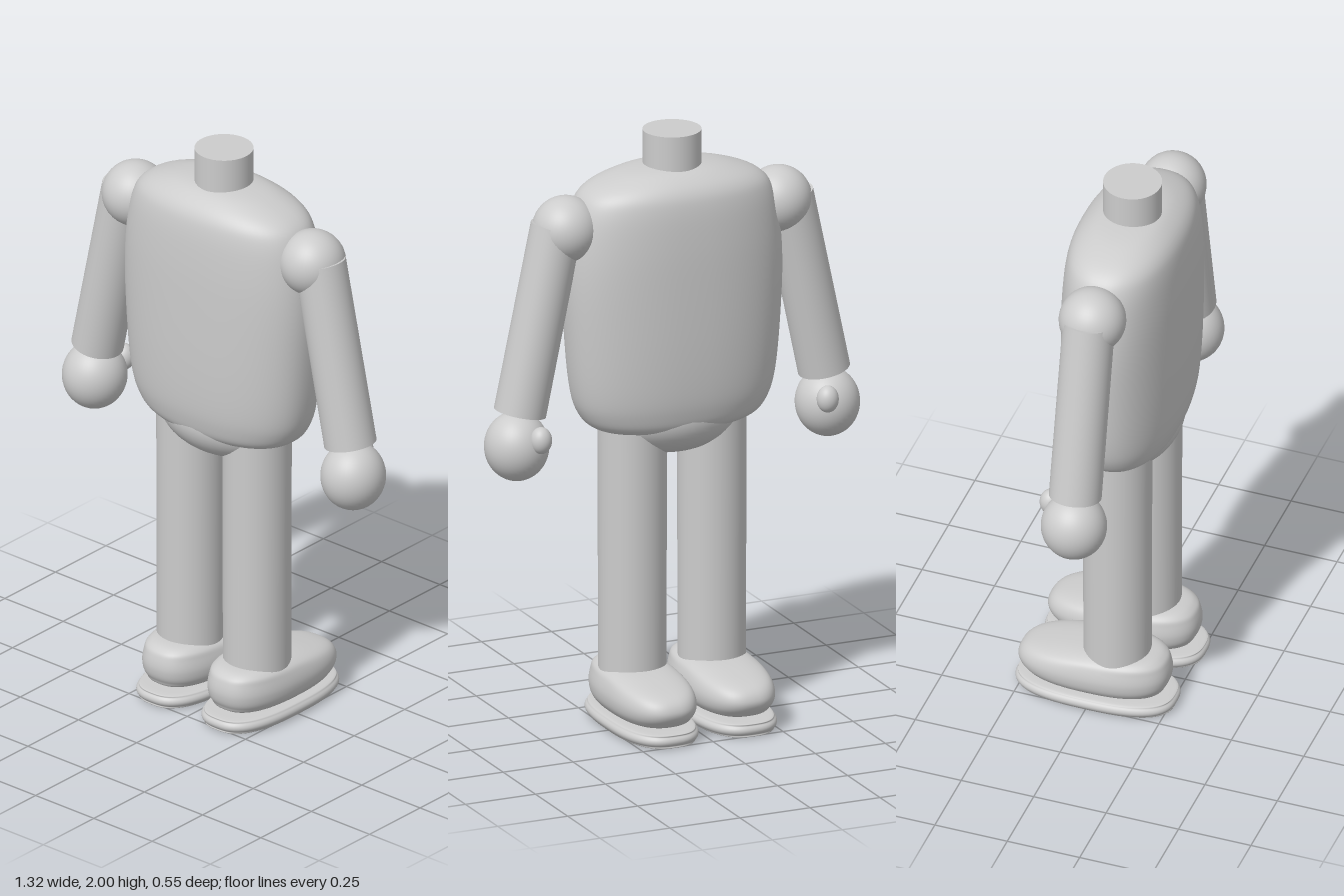
import * as THREE from 'three';

const clay = new THREE.MeshStandardMaterial({ color: 0xcccccc });
clay.name = 'plain grey';
const MID_Z = 0.068; // depth of the body's centre line

// Smooth closed body through sections [y, half width, half depth, centre z], bottom to top;
// each ring is a superellipse of the given exponent.
function loft(sections, exponent, rings = 48, sides = 64) {
  const size = new THREE.CatmullRomCurve3(
    sections.map(([y, w, d]) => new THREE.Vector3(w, y, d)), false, 'catmullrom', 0.5);
  const middle = new THREE.CatmullRomCurve3(
    sections.map(([y, , , z]) => new THREE.Vector3(0, y, z)), false, 'catmullrom', 0.5);
  const bend = (v) => Math.sign(v) * Math.abs(v) ** (2 / exponent);
  const positions = [], index = [];
  for (let i = 0; i <= rings; i++) {
    const s = size.getPoint(i / rings), m = middle.getPoint(i / rings);
    for (let j = 0; j < sides; j++) {
      const a = (j / sides) * Math.PI * 2;
      positions.push(Math.max(s.x, 0) * bend(Math.cos(a)), s.y, m.z + Math.max(s.z, 0) * bend(Math.sin(a)));
      if (i === rings) continue;
      const p = i * sides + j, q = i * sides + (j + 1) % sides;
      index.push(p, p + sides, q, q, p + sides, q + sides);
    }
  }
  const geometry = new THREE.BufferGeometry();
  geometry.setAttribute('position', new THREE.Float32BufferAttribute(positions, 3));
  geometry.setIndex(index);
  geometry.computeVertexNormals();
  return geometry;
}

function add(parent, name, geometry, x = 0, y = 0, z = 0) {
  const mesh = new THREE.Mesh(geometry, clay);
  mesh.name = name;
  mesh.position.set(x, y, z);
  parent.add(mesh);
  return mesh;
}

const ellipsoid = (rx, ry, rz) => new THREE.SphereGeometry(1, 40, 28).scale(rx, ry, rz);

export function createModel() {
  const model = new THREE.Group();
  model.name = 'headlessFigure';

  // Torso, pelvis and neck
  add(model, 'torso', loft([
    [0.99, 0, 0, MID_Z], [1.0, 0.2, 0.11, MID_Z], [1.02, 0.285, 0.152, MID_Z],
    [1.07, 0.328, 0.172, MID_Z], [1.15, 0.352, 0.184, MID_Z], [1.3, 0.368, 0.191, MID_Z],
    [1.5, 0.378, 0.193, MID_Z], [1.65, 0.37, 0.191, MID_Z], [1.77, 0.345, 0.182, MID_Z],
    [1.83, 0.3, 0.163, MID_Z], [1.87, 0.2, 0.12, MID_Z], [1.887, 0.1, 0.07, MID_Z],
    [1.89, 0, 0, MID_Z],
  ], 2.3, 72));
  add(model, 'pelvis', ellipsoid(0.24, 0.14, 0.165), 0, 1.045, MID_Z);
  add(model, 'neck', new THREE.CylinderGeometry(0.096, 0.096, 0.2, 48), 0, 1.9, MID_Z);

  // Shared shoe and sole shapes, toes towards -z
  const shoe = loft([
    [0.05, 0, 0, 0], [0.056, 0.095, 0.2, 0], [0.08, 0.127, 0.243, -0.006],
    [0.12, 0.136, 0.257, -0.008], [0.16, 0.128, 0.238, 0.006], [0.185, 0.112, 0.18, 0.05],
    [0.2, 0.075, 0.105, 0.085], [0.203, 0, 0, 0.085],
  ], 2.5);
  const sole = loft([
    [0.005, 0, 0, 0], [0.006, 0.11, 0.24, 0], [0.015, 0.13, 0.266, 0], [0.03, 0.137, 0.274, 0],
    [0.045, 0.13, 0.266, 0], [0.054, 0.11, 0.24, 0], [0.055, 0, 0, 0],
  ], 2.7, 30).translate(0, -0.005, 0);

  for (const [side, s] of [['left', 1], ['right', -1]]) {
    // Arm: shoulder ball, slanted sleeve, hand and thumb
    const arm = new THREE.Group();
    arm.name = side + 'Arm';
    add(arm, 'shoulder', ellipsoid(0.11, 0.11, 0.11), s * 0.38, 1.71, MID_Z);
    const top = new THREE.Vector3(s * 0.412, 1.725, MID_Z);
    const wrist = new THREE.Vector3(s * 0.543, 1.105, MID_Z);
    const along = top.clone().sub(wrist);
    const sleeve = add(arm, 'sleeve', new THREE.CylinderGeometry(0.085, 0.086, along.length(), 40));
    sleeve.position.copy(top).add(wrist).multiplyScalar(0.5);
    sleeve.quaternion.setFromUnitVectors(new THREE.Vector3(0, 1, 0), along.normalize());
    add(arm, 'hand', ellipsoid(0.106, 0.115, 0.108), s * 0.555, 0.992, MID_Z);
    add(arm, 'thumb', ellipsoid(0.036, 0.045, 0.036), s * 0.512, 1.033, -0.028);
    model.add(arm);

    // Leg: straight trouser, shoe and sole
    const leg = new THREE.Group();
    leg.name = side + 'Leg';
    add(leg, 'trouser', new THREE.CylinderGeometry(0.113, 0.111, 0.9, 48), s * 0.142, 0.58, MID_Z);
    add(leg, 'shoe', shoe, s * 0.14);
    add(leg, 'sole', sole, s * 0.14);
    model.add(leg);
  }
  return model;
}
